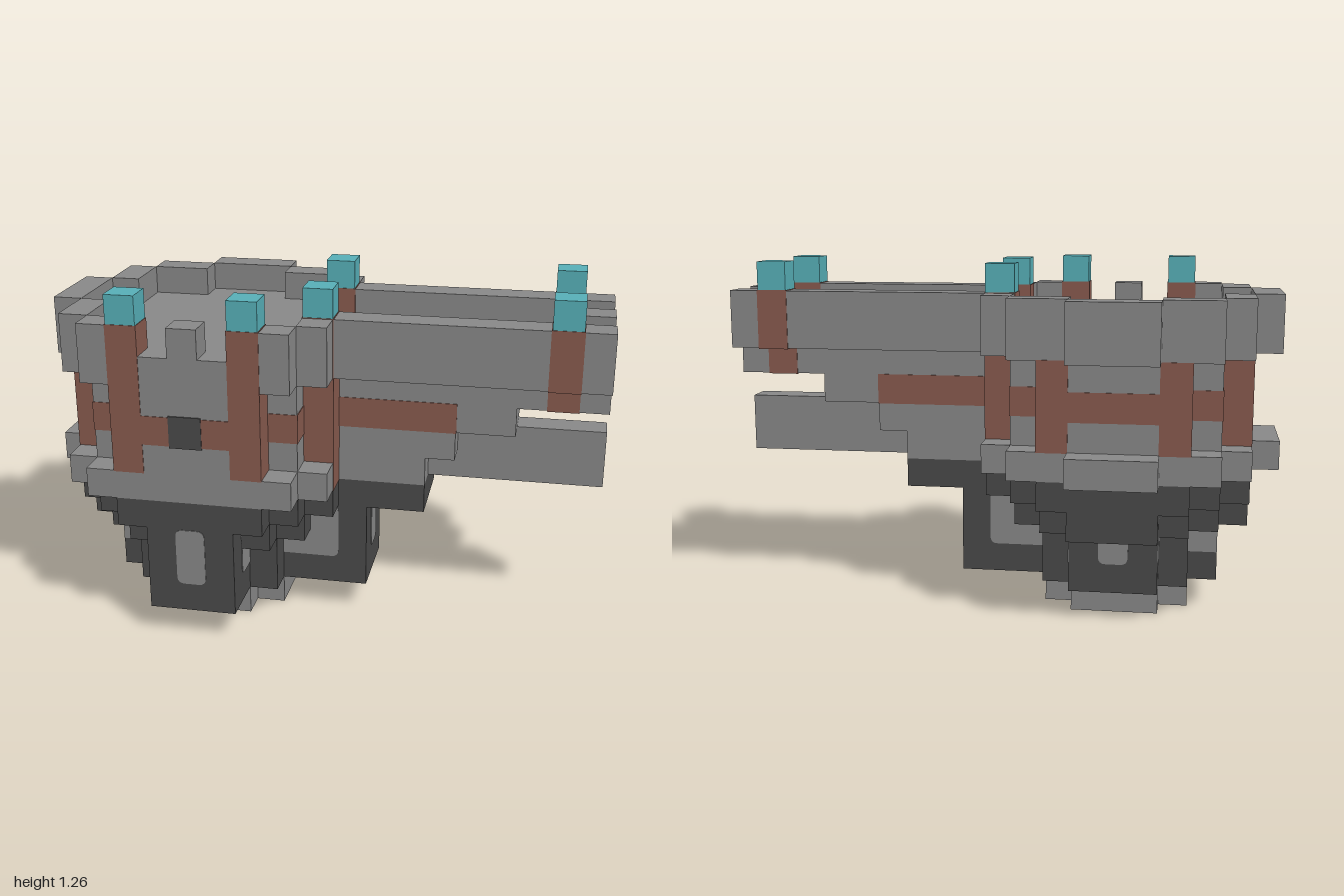
import * as THREE from 'three';

const U = 2 / 19;      // size of one block
const E = 0.025;       // how far painted skins stand proud, in blocks

export function createModel() {
  const mat = (name, color) => {
    const m = new THREE.MeshStandardMaterial({ color });
    m.name = name;
    return m;
  };
  const stone = mat('stone grey', 0x888888);
  const dark = mat('dark stone', 0x494949);
  const brown = mat('brown wood', 0x875a4e);
  const cyan = mat('cyan lamp', 0x57afb7);

  const model = new THREE.Group();
  model.name = 'tower';
  const blocks = new THREE.Group();   // works in block units
  blocks.name = 'blocks';
  blocks.scale.setScalar(U);
  blocks.position.set(-1, 0, -5 * U);
  model.add(blocks);

  const add = (name, geo, m, x, y, z) => {
    const mesh = new THREE.Mesh(geo, m);
    mesh.name = name;
    mesh.position.set(x, y, z);
    blocks.add(mesh);
    return mesh;
  };
  // box between block corners, optionally swollen by e
  const box = (name, m, x0, x1, y0, y1, z0, z1, e = 0) =>
    add(name, new THREE.BoxGeometry(x1 - x0 + 2 * e, y1 - y0 + 2 * e, z1 - z0 + 2 * e), m,
      (x0 + x1) / 2, (y0 + y1) / 2, (z0 + z1) / 2);
  // stepped round slab: union of centred rectangles (half width, half depth), cut flat at the front
  const disc = (name, m, steps, y0, y1, e = 0) => {
    const q = [];
    steps.forEach(([w, h], i) => {
      if (i) q.push([w + e, steps[i - 1][1] + e]);
      q.push([w + e, h + e]);
    });
    const r = [...q].reverse();
    const pts = [
      ...q,
      ...r.map(([x, y]) => [-x, y]),
      ...q.map(([x, y]) => [-x, -y]),
      ...r.map(([x, y]) => [x, -y]),
    ].map(([x, y]) => new THREE.Vector2(x, Math.max(y, -4.5 - e)))
      .filter((p, i, a) => !i || p.distanceTo(a[i - 1]) > 1e-6);
    const geo = new THREE.ExtrudeGeometry(new THREE.Shape(pts), { depth: y1 - y0, bevelEnabled: false });
    geo.rotateX(-Math.PI / 2);
    return add(name, geo, m, 5.5, y0, 5.5);
  };
  // thin window plate with rounded corners, turned about y to face outwards
  const plate = (name, w, h, x, y, z, turn, r = 0.25) => {
    const s = new THREE.Shape();
    const a = w / 2, b = h / 2;
    s.moveTo(-a + r, -b).lineTo(a - r, -b);
    s.quadraticCurveTo(a, -b, a, -b + r).lineTo(a, b - r);
    s.quadraticCurveTo(a, b, a - r, b).lineTo(-a + r, b);
    s.quadraticCurveTo(-a, b, -a, b - r).lineTo(-a, -b + r);
    s.quadraticCurveTo(-a, -b, -a + r, -b);
    const geo = new THREE.ExtrudeGeometry(s, { depth: E, bevelEnabled: false, curveSegments: 4 });
    add(name, geo, stone, x, y, z).rotation.y = turn;
  };

  // plans of the round layers
  const rim = [[5.5, 1.5], [4.5, 3.5], [3.5, 4.5], [1.5, 5.5]];
  const wall = [[4.5, 2.5], [3.5, 3.5], [2.5, 4.5]];
  const corbel = [[4.5, 1.5], [3.5, 2.5], [2.5, 3.5], [1.5, 4.5]];
  const core = [[3.5, 1.5], [2.5, 2.5], [1.5, 3.5]];
  const foot = [[2.5, 1.5], [1.5, 2.5]];

  // base
  disc('foot', stone, foot, 0, 1);
  disc('baseCore', dark, core, 1, 4);
  disc('baseCorbel', dark, corbel, 3, 4);
  disc('baseTop', dark, wall, 4, 5);
  box('frontLobe', dark, 4, 7, 1, 4, 9, 10);
  box('rightLobe', dark, 9, 11, 1, 4, 4, 7);
  box('beamSupport', dark, 10, 13, 4, 5, 4, 7);

  // base windows
  const H = Math.PI / 2;
  plate('frontWindow', 1, 2, 5.5, 3, 10, 0);
  plate('rightWindow', 1, 2, 11, 3, 5.5, H);
  plate('backWindow', 1, 1, 5.5, 2.5, 2, 2 * H);
  plate('leftWindow', 1, 1, 2, 2.5, 5.5, -H);
  for (const s of [0, 1]) {
    const zFace = s ? 7 : 4, zTurn = s ? 0 : 2 * H;
    plate('rightLobeSideWindow', 3, 2, 8.5, 3, zFace, zTurn);
    plate('leftLobeSideWindow', 2, 2, 3, 3, zFace, zTurn, 0);
    const xFace = s ? 7 : 4, xTurn = s ? H : -H;
    plate('frontLobeSideWindow', 2, 2, xFace, 3, 8, xTurn);
    plate('backLobeSideWindow', 2, 2, xFace, 3, 3, xTurn, 0);
  }

  // tower body
  disc('lowerRim', stone, rim, 5, 6);
  disc('wall', stone, wall, 6, 9);
  disc('wallBand', brown, wall, 7, 8, E);
  disc('deck', stone, rim, 9, 10);
  box('frontWallTop', stone, 3, 8, 9, 10, 9, 10);
  box('embrasure', dark, 5, 6, 7, 8, 9, 10, 2 * E);

  // parapet
  box('backParapet', stone, 4, 7, 10, 11, 0, 1);
  box('leftParapet', stone, 0, 1, 10, 11, 4, 7);
  for (const x of [2, 7]) for (const z of [1, 9]) box('parapet', stone, x, x + 2, 10, 11, z, z + 1);
  for (const x of [1, 9]) for (const z of [2, 7]) box('parapet', stone, x, x + 1, 10, 11, z, z + 2);
  box('frontMerlon', stone, 5, 6, 10, 11, 9, 10);

  // long walkway and the beam beneath it
  box('walkwayFloor', stone, 10, 19, 8, 10, 4, 7);
  for (const z of [3, 7]) box('walkwayWall', stone, 10, 19, 9, 11, z, z + 1);
  box('walkwayMerlon', stone, 18, 19, 10, 11, 5, 6);
  box('walkwayBracketTop', stone, 9, 16, 7, 8, 4, 7);
  box('walkwayBracketMiddle', stone, 9, 14, 6, 7, 4, 7);
  box('walkwayBracketBottom', stone, 9, 13, 5, 6, 4, 7);
  box('walkwayBand', brown, 10, 14, 7, 8, 4, 7, E);
  box('beam', stone, 13, 19, 5, 7, 5, 6);
  box('walkwayTie', brown, 17, 18, 8, 9, 4, 7, E);

  // wooden posts and lamps
  const lamp = (x, z) => box('lamp', cyan, x, x + 1, 11, 12, z, z + 1);
  for (const x of [3, 7]) {
    box('frontPost', brown, x, x + 1, 6, 11, 9, 10, E);
    box('backPost', brown, x, x + 1, 6, 9, 1, 2, E);
    lamp(x, 9);
  }
  for (const z of [3, 7]) {
    box('leftPost', brown, 1, 2, 6, 9, z, z + 1, E);
    box('rightPost', brown, 9, 10, 5, 11, z, z + 1, E);
    box('walkwayPost', brown, 17, 18, 9, 11, z, z + 1, E);
    lamp(9, z);
    lamp(17, z);
  }
  return model;
}
